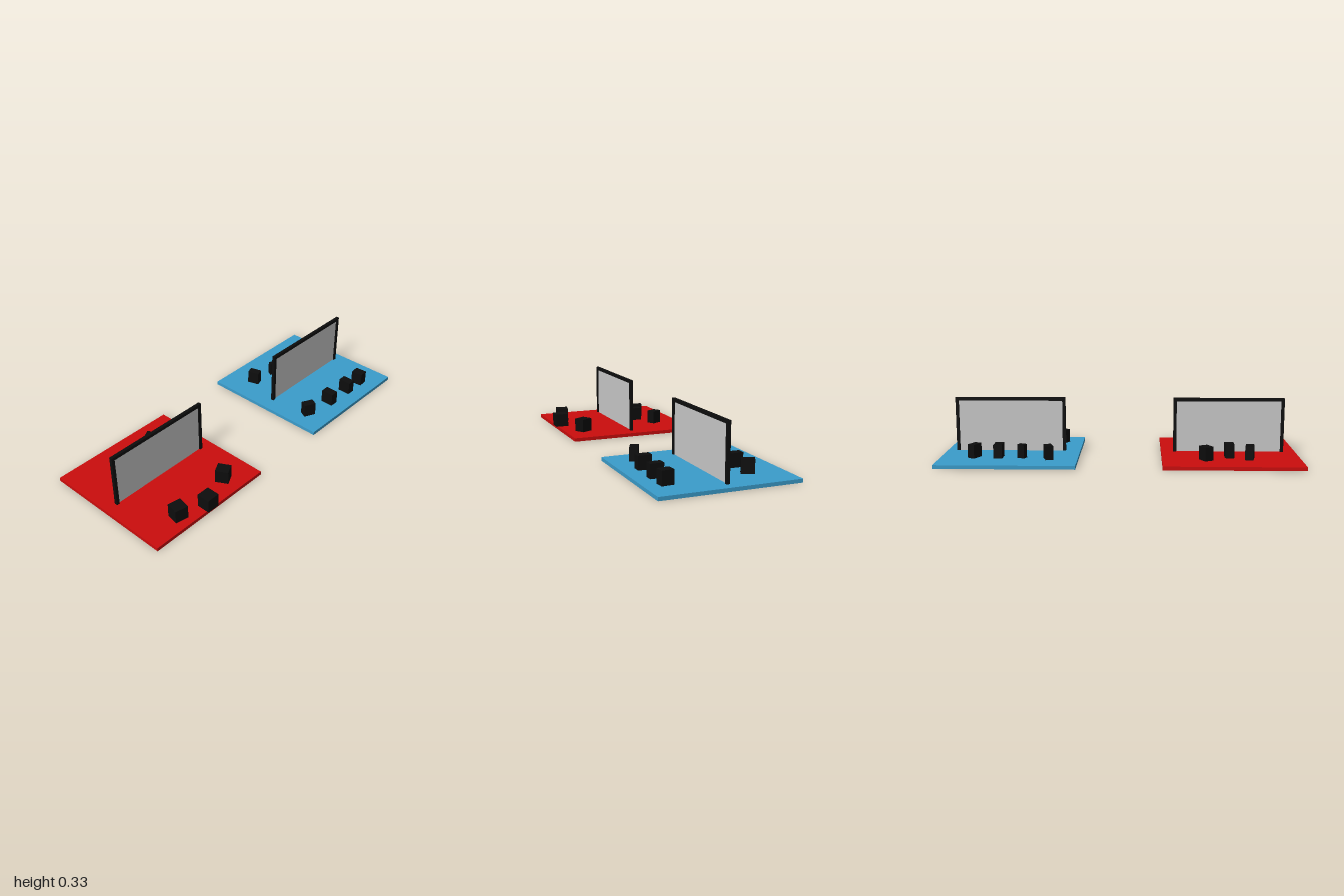
import * as THREE from 'three';

const material = (color) => new THREE.MeshStandardMaterial({ color });
const black = material(0x0d0d0d);
const red = material(0xcc0d0d);
const blue = material(0x3b9dcc);
const grey = material(0xcccccc);

const BASE = 0.767, FLOOR = 0.02, TOP = 0.33;
const WALL_X = -0.008, WALL_LENGTH = 0.63, BAR = 0.018;

function box(parent, name, mat, [w, h, d], [x, y, z], turn = 0) {
  const mesh = new THREE.Mesh(new THREE.BoxGeometry(w, h, d), mat);
  mesh.name = name;
  mesh.position.set(x, y, z);
  mesh.rotation.y = turn;
  parent.add(mesh);
  return mesh;
}

// Framed divider: two posts, a top rail and a thin inset panel
function divider(z) {
  const group = new THREE.Group();
  group.name = 'divider';
  group.position.set(WALL_X, 0, z);
  const height = TOP - FLOOR, inner = WALL_LENGTH - 2 * BAR;
  for (const side of [-1, 1]) {
    box(group, 'post', black, [BAR, height, BAR],
      [0, FLOOR + height / 2, side * (WALL_LENGTH - BAR) / 2]);
  }
  box(group, 'topRail', black, [BAR, BAR, inner], [0, TOP - BAR / 2, 0]);
  box(group, 'panel', grey, [0.003, height - BAR, inner], [0, FLOOR + (height - BAR) / 2, 0]);
  return group;
}

// Coloured floor slab with its divider and scattered blocks
function court(name, mat, z, wallZ, blocks) {
  const group = new THREE.Group();
  group.name = name;
  box(group, 'floorSlab', mat, [BASE, FLOOR, BASE], [-0.006, FLOOR / 2, z]);
  group.add(divider(wallZ));
  const h = 0.077;
  for (const [x, bz, w, d, turn] of blocks) {
    box(group, 'block', black, [w, h, d], [x, FLOOR + h / 2, bz], turn);
  }
  return group;
}

// Blocks: x, z, width, depth, turn about the vertical
const redBlocks = [
  [-0.227, 0.475, 0.065, 0.052, 0.5],
  [-0.146, 0.609, 0.077, 0.05, 0],
  [-0.2, 0.717, 0.07, 0.046, -0.2],
  [0.267, 0.414, 0.073, 0.066, 0.5],
  [0.351, 0.616, 0.076, 0.075, 0],
  [0.294, 0.776, 0.072, 0.075, -0.2],
];
const blueBlocks = [
  [-0.19, -0.808, 0.07, 0.042, -0.45],
  [-0.187, -0.674, 0.077, 0.048, -0.02],
  [-0.197, -0.542, 0.032, 0.042, -0.45],
  [-0.22, -0.394, 0.068, 0.044, 0.3],
  [0.265, -0.828, 0.068, 0.054, 0.08],
  [0.263, -0.701, 0.074, 0.048, 0],
  [0.258, -0.535, 0.076, 0.05, 0],
  [0.238, -0.356, 0.046, 0.07, -0.45],
];

export function createModel() {
  const model = new THREE.Group();
  model.name = 'twoCourts';
  const z = 1 - BASE / 2;
  model.add(court('redCourt', red, z, 0.617, redBlocks));
  model.add(court('blueCourt', blue, -z, -0.631, blueBlocks));
  return model;
}
